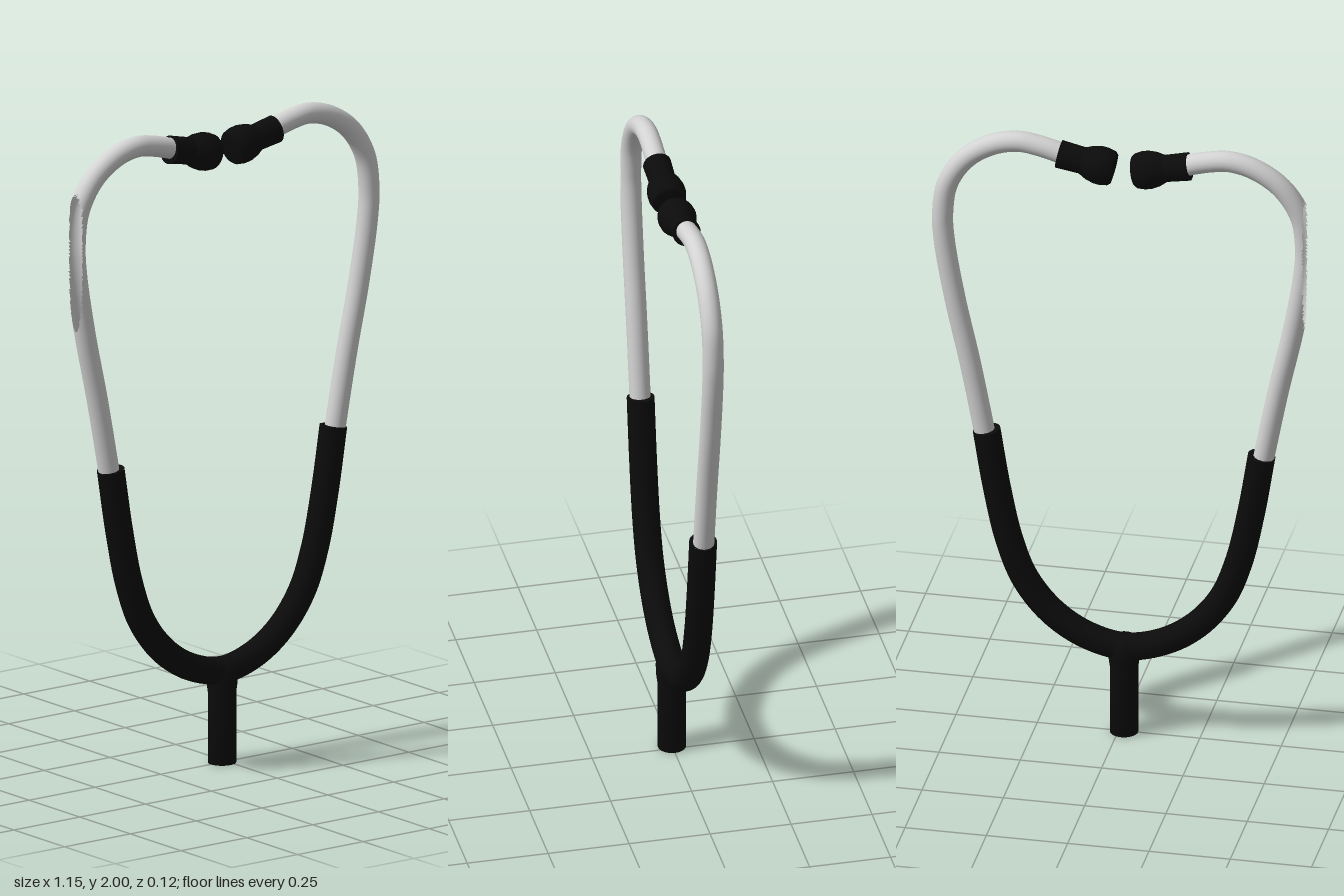
import * as THREE from 'three';

const AXIS = -0.017; // the symmetry axis sits slightly off centre
const CUT = -0.572;  // the right tube is open beyond this x

const vec = ([x, y], side = 1) => new THREE.Vector3(side * x, y, 0);
const up = new THREE.Vector3(0, 1, 0);

export function createModel() {
  const model = new THREE.Group();
  model.name = 'stethoscopeHeadset';
  const metal = new THREE.MeshStandardMaterial({ name: 'light grey metal', color: 0xd2d2d2, side: THREE.DoubleSide });
  const rubber = new THREE.MeshStandardMaterial({ name: 'black rubber', color: 0x0b0b0b });

  const add = (name, geometry, material) => {
    const mesh = new THREE.Mesh(geometry, material);
    mesh.name = name;
    mesh.position.x = AXIS;
    model.add(mesh);
    return mesh;
  };

  // Rubber yoke: one hose swept through both arms
  const arm = [[0.119, 0.316], [0.222, 0.383], [0.303, 0.485], [0.352, 0.61], [0.39, 0.78], [0.423, 0.98]];
  const yoke = new THREE.CatmullRomCurve3([
    ...arm.map((p) => vec(p, -1)).reverse(), vec([0, 0.288]), ...arm.map((p) => vec(p)),
  ]);
  add('yokeHose', new THREE.TubeGeometry(yoke, 100, 0.042, 24), rubber);

  // Stem with a slight flare where it meets the yoke
  const stem = [[0, 0], [0.043, 0], [0.043, 0.22], [0.047, 0.25], [0.049, 0.29], [0.035, 0.32], [0, 0.325]];
  add('stem', new THREE.LatheGeometry(stem.map(([r, y]) => new THREE.Vector2(r, y)), 32), rubber);

  // Half profile of an ear tip, from the flat end back to its collar
  const tip = [[0, 0], [0.046, 0], [0.053, 0.008], [0.058, 0.03], [0.058, 0.05], [0.052, 0.076],
    [0.042, 0.097], [0.041, 0.1], [0.043, 0.172], [0.043, 0.173], [0, 0.173]];
  const tubePath = [[0.421, 0.93], [0.473, 1.2], [0.521, 1.42], [0.553, 1.61], [0.558, 1.7], [0.542, 1.805],
    [0.487, 1.893], [0.407, 1.948], [0.327, 1.968], [0.26, 1.96], [0.16, 1.932]];

  for (const [side, label] of [[1, 'left'], [-1, 'right']]) {
    // Disc closing the end of the hose
    const cap = add(label + 'HoseCap', new THREE.CircleGeometry(0.042, 24), rubber);
    const end = side > 0 ? 1 : 0;
    cap.position.add(yoke.getPointAt(end));
    cap.quaternion.setFromUnitVectors(new THREE.Vector3(0, 0, 1), yoke.getTangentAt(end).multiplyScalar(side));

    // Bent metal ear tube
    const curve = new THREE.CatmullRomCurve3(tubePath.map((p) => vec(p, side)));
    const tube = new THREE.TubeGeometry(curve, 120, 0.032, 32);
    if (side < 0) {
      // Leave the outer wall open where it passes the cut
      const pos = tube.attributes.position;
      const old = tube.index.array;
      const kept = [];
      for (let i = 0; i < old.length; i += 3) {
        const tri = [old[i], old[i + 1], old[i + 2]];
        const x = tri.reduce((s, v) => s + pos.getX(v), 0) / 3 + AXIS;
        if (x > CUT) kept.push(...tri);
      }
      tube.setIndex(kept);
    }
    add(label + 'EarTube', tube, metal);

    // Ear tip, tilted along the end of the tube
    const earTip = add(label + 'EarTip', new THREE.LatheGeometry(tip.map(([r, y]) => new THREE.Vector2(r, y)), 32), rubber);
    earTip.position.set(AXIS + side * 0.031, 1.905, 0);
    earTip.quaternion.setFromUnitVectors(up, new THREE.Vector3(side, 0.2, 0).normalize());
  }
  return model;
}
